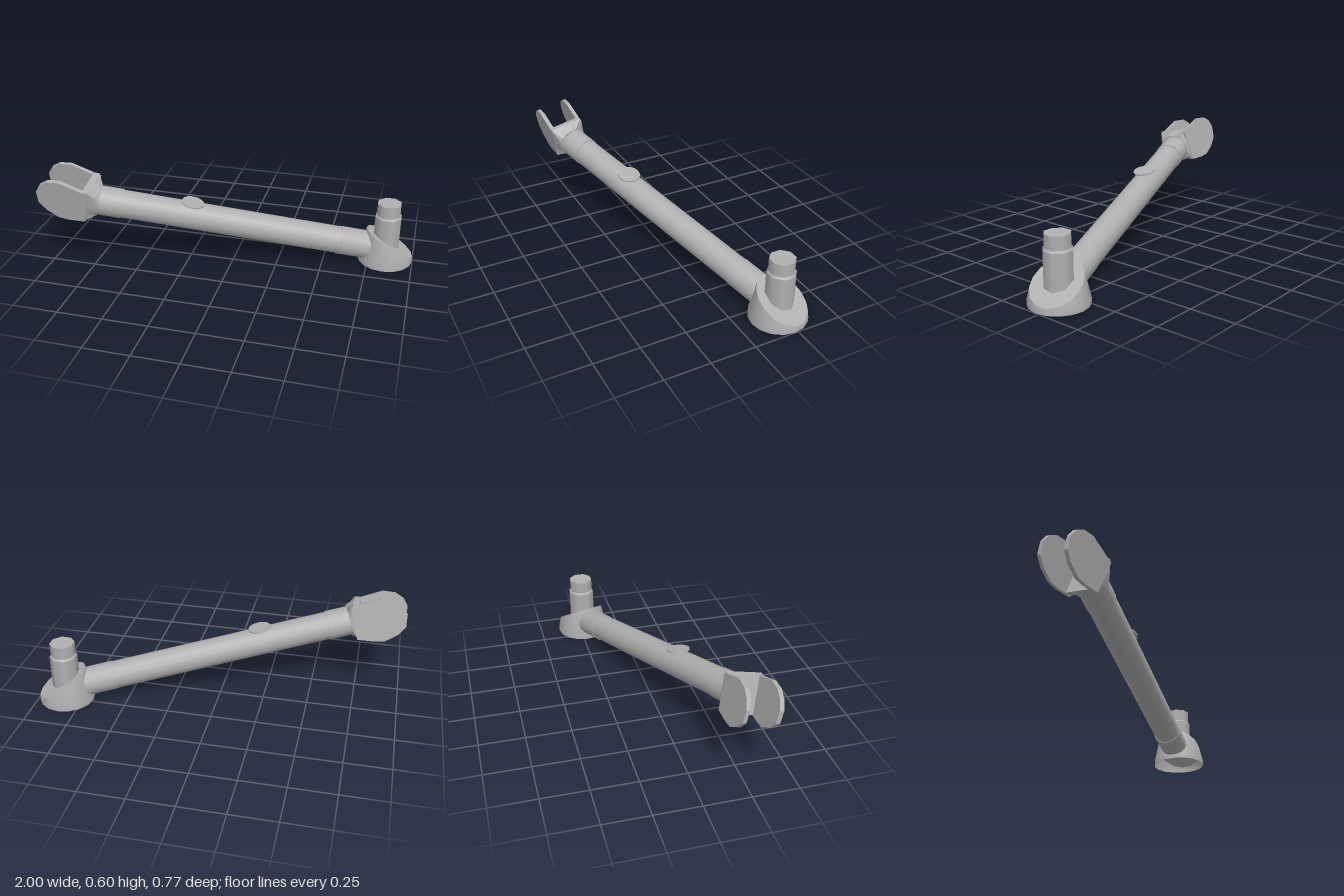
import * as THREE from 'three';
import { toCreasedNormals } from 'three/addons/utils/BufferGeometryUtils.js';

const N = 16;
const metal = new THREE.MeshStandardMaterial({ color: 0xb0b0b0, side: THREE.DoubleSide });
metal.name = 'grey metal';

// Skin between rings of N points, with optional flat caps
function loft(rings, capStart, capEnd) {
  const pos = [];
  const tri = (a, b, c) => pos.push(...a.toArray(), ...b.toArray(), ...c.toArray());
  for (let i = 0; i + 1 < rings.length; i++) {
    for (let j = 0; j < N; j++) {
      const k = (j + 1) % N;
      const a = rings[i][j], b = rings[i][k], c = rings[i + 1][k], d = rings[i + 1][j];
      tri(a, b, c);
      tri(a, c, d);
    }
  }
  const cap = (ring, flip) => {
    const mid = new THREE.Vector3();
    ring.forEach((p) => mid.addScaledVector(p, 1 / N));
    ring.forEach((p, j) => {
      const q = ring[(j + 1) % N];
      if (flip) tri(mid, q, p); else tri(mid, p, q);
    });
  };
  if (capStart) cap(rings[0], true);
  if (capEnd) cap(rings[rings.length - 1], false);
  const g = new THREE.BufferGeometry();
  g.setAttribute('position', new THREE.Float32BufferAttribute(pos, 3));
  return toCreasedNormals(g, 0.6);
}

const ring = (f) => Array.from({ length: N }, (_, j) => f((j / N) * Math.PI * 2));

function add(parent, name, geometry) {
  const m = new THREE.Mesh(geometry, metal);
  m.name = name;
  parent.add(m);
  return m;
}

export function createModel() {
  const model = new THREE.Group();
  model.name = 'slantedArm';

  // Sloping arm: tube with a collar at each end
  const axisAt = (x) => new THREE.Vector3(x, 0.263 - 0.226 * x, 0.036 - 0.315 * x);
  const rod = (name, x0, x1, r) => {
    const a = axisAt(x0), b = axisAt(x1);
    const m = add(model, name, new THREE.CylinderGeometry(r, r, a.distanceTo(b), N));
    m.position.copy(a).add(b).multiplyScalar(0.5);
    m.quaternion.setFromUnitVectors(new THREE.Vector3(0, 1, 0), b.sub(a).normalize());
  };
  rod('armTube', -0.6, 0.6, 0.078);
  rod('forkCollar', -0.71, -0.57, 0.082);
  rod('baseCollar', 0.58, 0.74, 0.081);

  // Round button lying on the arm
  const button = add(model, 'button', new THREE.CylinderGeometry(0.062, 0.062, 0.008, 32));
  button.position.set(-0.2, 0.391, 0.106);
  button.rotation.z = -0.223;

  // Base: open-bottomed cone cut by a slanted plane
  const cx = 0.845, cz = -0.231;
  const basePoint = (t, r, y) => new THREE.Vector3(cx + r * Math.cos(t), y, cz - r * Math.sin(t));
  const cut = ring((t) => {
    const c = Math.cos(t - 0.305);
    const y = (0.125 - 0.0966 * c) / (1 - 0.144 * c);
    return basePoint(t, 0.161 - 0.24 * y, y);
  });
  add(model, 'base', loft([
    ring((t) => basePoint(t, 0.155, 0)),
    ring((t) => basePoint(t, 0.155, 0.025)),
    cut,
  ], false, true));

  // Stepped upright pin
  const pin = new THREE.Group();
  pin.name = 'pin';
  pin.position.set(cx, 0, cz);
  pin.rotation.y = Math.PI / 8;
  model.add(pin);
  const pinStep = (name, r0, r1, y0, y1) => {
    add(pin, name, new THREE.CylinderGeometry(r1, r0, y1 - y0, 8)).position.y = (y0 + y1) / 2;
  };
  pinStep('pinBody', 0.077, 0.077, 0.07, 0.275);
  pinStep('pinBevel', 0.077, 0.069, 0.275, 0.285);
  pinStep('pinTip', 0.069, 0.069, 0.285, 0.356);

  // Fork, rolled about x: a hub blending square to round, and two rounded cheeks
  const fork = new THREE.Group();
  fork.name = 'fork';
  fork.rotation.x = 0.21;
  model.add(fork);
  const square = (u) => ring((t) => {
    const c = Math.cos(t), s = Math.sin(t), k = 1 / Math.max(Math.abs(c), Math.abs(s));
    return new THREE.Vector3(u + 0.025 * c * k, 0.48 + 0.097 * c * k, 0.166 + 0.094 * s * k);
  });
  const round = ring((t) => {
    const v = 0.085 * Math.cos(t), w = 0.085 * Math.sin(t);
    return new THREE.Vector3(-0.685 + 0.29 * v + 0.2 * w, 0.462 + v, 0.16 + w);
  });
  add(fork, 'forkHub', loft([square(-0.76), square(-0.728), round], true, true));

  const outline = [
    [-0.695, 0.562], [-0.854, 0.626], [-0.924, 0.623], [-0.972, 0.596], [-1, 0.552],
    [-1, 0.481], [-0.961, 0.432], [-0.897, 0.389], [-0.84, 0.38], [-0.745, 0.38],
  ].map(([u, v]) => new THREE.Vector2(u, v));
  for (const [name, w, depth] of [['frontCheek', 0.238, 0.023], ['backCheek', 0.071, 0.02]]) {
    const g = new THREE.ExtrudeGeometry(new THREE.Shape(outline), { depth, bevelEnabled: false });
    add(fork, name, g).position.z = w;
  }
  return model;
}
